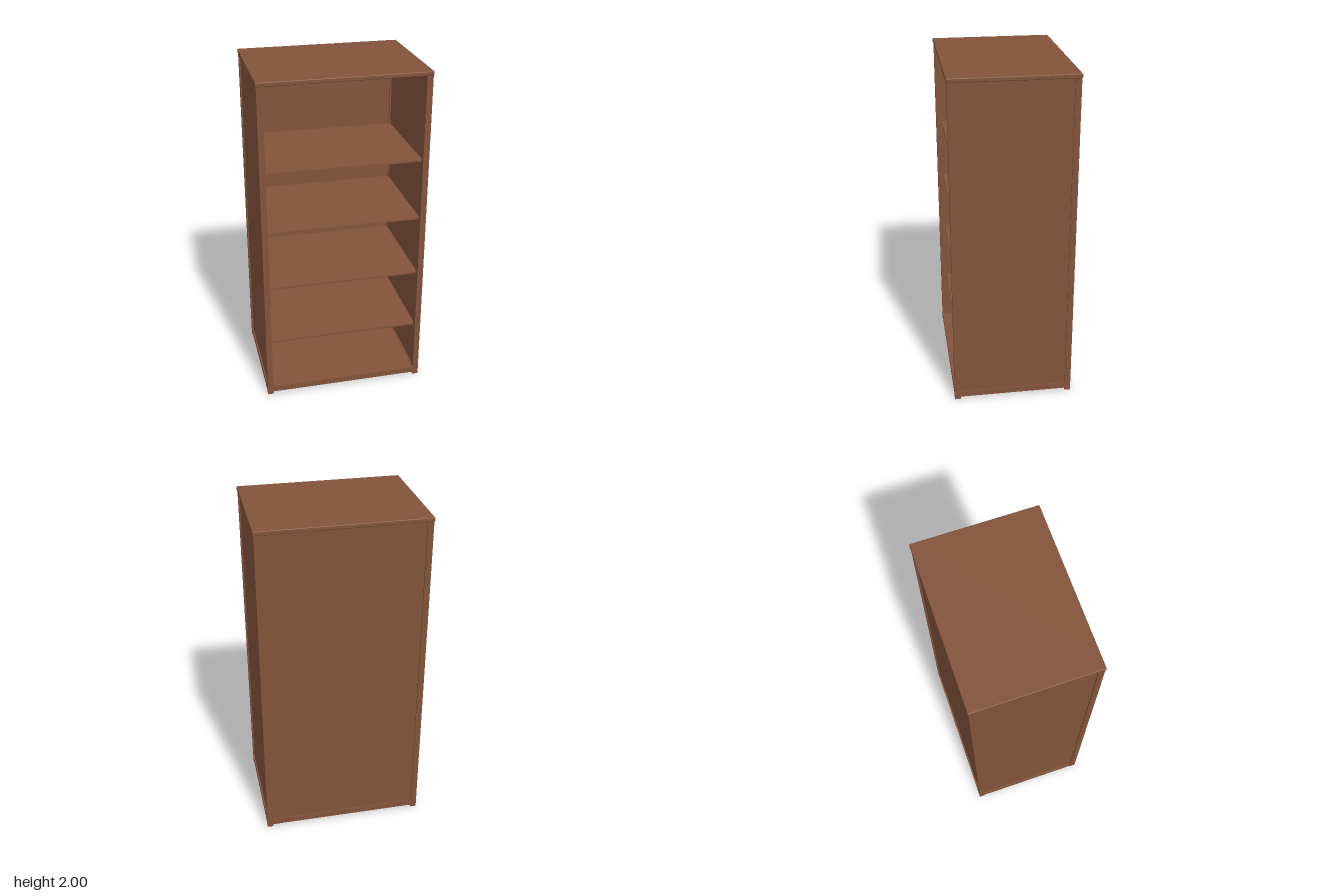
import * as THREE from 'three';
import { RoundedBoxGeometry } from 'three/addons/geometries/RoundedBoxGeometry.js';

export function createModel() {
  const group = new THREE.Group();
  group.name = 'bookcase';
  const wood = new THREE.MeshStandardMaterial({ color: 0x82533a });
  wood.name = 'brown wood';

  const add = (name, geometry, x, y, z) => {
    const mesh = new THREE.Mesh(geometry, wood);
    mesh.name = name;
    mesh.position.set(x, y, z);
    group.add(mesh);
  };
  // Box given by its minimum and maximum on each axis
  const box = (name, x0, x1, y0, y1, z0, z1) =>
    add(name, new THREE.BoxGeometry(x1 - x0, y1 - y0, z1 - z0),
      (x0 + x1) / 2, (y0 + y1) / 2, (z0 + z1) / 2);

  const X = 0.488, Z = 0.358, POST = 0.035;
  const xi = X - POST, zi = Z - POST;
  const railBottom = 0.016, railTop = 0.052, topBottom = 1.975;

  // Top board with softened edges
  add('topBoard', new RoundedBoxGeometry(0.984, 0.025, 0.724, 2, 0.005), 0, 1.9875, 0);

  // Corner posts, which also form the short feet
  for (const sx of [-1, 1]) {
    for (const sz of [-1, 1]) {
      add('cornerPost', new THREE.BoxGeometry(POST, topBottom, POST),
        sx * (X - POST / 2), topBottom / 2, sz * (Z - POST / 2));
    }
  }

  // Base rails between the posts
  for (const s of [-1, 1]) {
    const railHeight = railTop - railBottom, y = (railTop + railBottom) / 2;
    add('baseRail', new THREE.BoxGeometry(2 * xi, railHeight, POST), 0, y, s * (Z - POST / 2));
    add('sideBaseRail', new THREE.BoxGeometry(POST, railHeight, 2 * zi), s * (X - POST / 2), y, 0);
    // Side panels set back from the post faces
    add('sidePanel', new THREE.BoxGeometry(0.018, topBottom - railTop, 2 * zi),
      s * (X - 0.017), (topBottom + railTop) / 2, 0);
  }

  // Back panel and floor
  box('backPanel', -xi, xi, railTop, topBottom, -Z + 0.008, -Z + 0.026);
  box('floorPanel', -xi, xi, railBottom, railTop - 0.004, -zi, zi);

  // Four thin shelves
  for (const y of [0.365, 0.735, 1.102, 1.47]) {
    box('shelf', -xi, xi, y - 0.01, y, -zi - 0.01, zi);
    for (const s of [-1, 1]) {
      // Shelf ends reaching the side panels between the posts
      const a = s * xi, b = s * (xi + 0.011);
      box('shelfEnd', Math.min(a, b), Math.max(a, b), y - 0.01, y, -zi, zi);
    }
  }
  return group;
}
